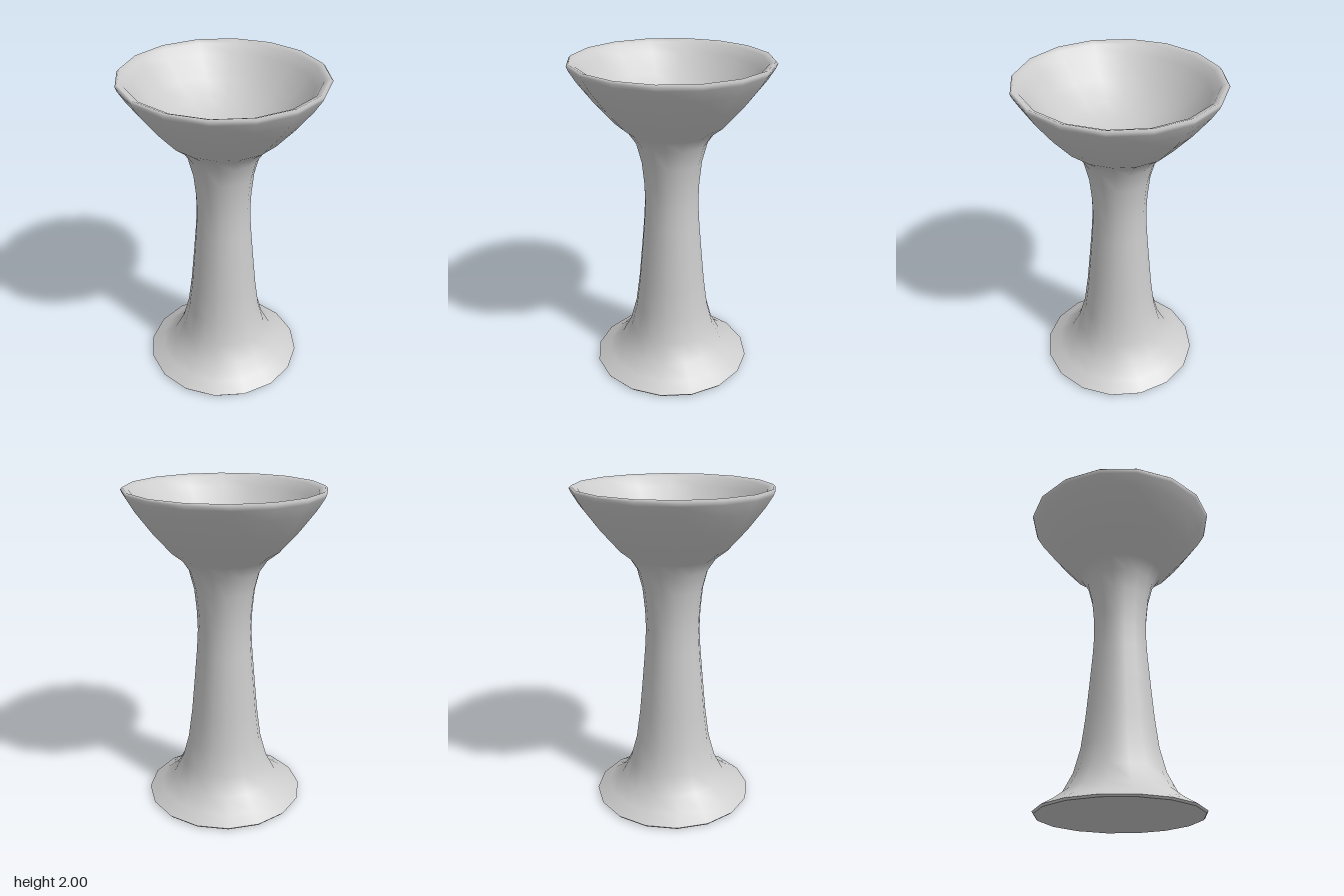
import * as THREE from 'three';

const SIDES = 16;

// Turned part from [radius, height] pairs; list runs up the outside, then down the inside
function turned(name, profile, material) {
  const points = profile.map(([r, y]) => new THREE.Vector2(r, y));
  const mesh = new THREE.Mesh(new THREE.LatheGeometry(points, SIDES), material);
  mesh.name = name;
  return mesh;
}

export function createModel() {
  const material = new THREE.MeshStandardMaterial({ color: 0xcccccc });
  const group = new THREE.Group();
  group.name = 'goblet';

  // Flared foot, waisted stem and the outside of the bowl, rolling over the rim to the inside
  group.add(turned('footStemAndBowl', [
    [0.5, 0.012], [0.42, 0.06], [0.335, 0.125], [0.275, 0.24], [0.235, 0.39],
    [0.21, 0.58], [0.19, 0.8], [0.173, 1.0], [0.166, 1.13], [0.17, 1.25],
    [0.184, 1.39], [0.215, 1.51], [0.265, 1.585], [0.335, 1.64],
    [0.45, 1.77], [0.545, 1.895], [0.588, 1.965], [0.597, 1.988], [0.585, 2.0],
    [0.55, 1.985], [0.51, 1.93], [0.42, 1.82], [0.31, 1.73],
    [0.2, 1.675], [0.1, 1.65], [0, 1.642],
  ], material));

  // Thin edge of the foot
  group.add(turned('footEdge', [[0.49, 0], [0.5, 0.012]], material));

  // Flat underside
  const underside = new THREE.Mesh(new THREE.CircleGeometry(0.49, SIDES), material);
  underside.name = 'underside';
  underside.rotation.x = Math.PI / 2;
  group.add(underside);

  return group;
}
